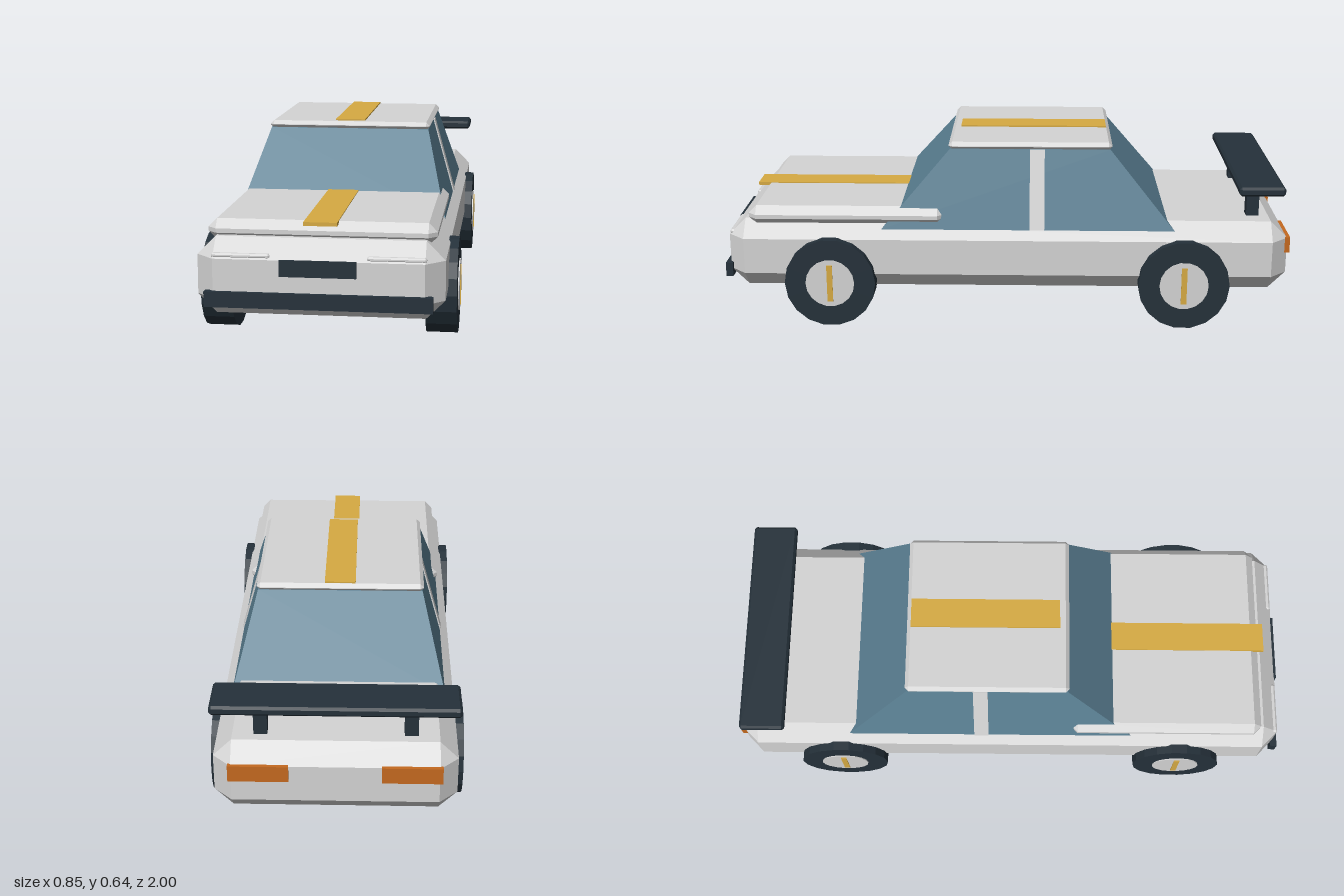
import * as THREE from 'three';
import { ConvexGeometry } from 'three/addons/geometries/ConvexGeometry.js';

function material(name, color) {
  const m = new THREE.MeshStandardMaterial({ color });
  m.name = name;
  return m;
}

// Box with single-step chamfers of size c on every edge
function chamferBox(w, h, d, c) {
  const points = [];
  const [x, y, z] = [w / 2, h / 2, d / 2];
  for (const sx of [-1, 1]) for (const sy of [-1, 1]) for (const sz of [-1, 1]) {
    points.push(
      new THREE.Vector3(sx * x, sy * (y - c), sz * (z - c)),
      new THREE.Vector3(sx * (x - c), sy * y, sz * (z - c)),
      new THREE.Vector3(sx * (x - c), sy * (y - c), sz * z));
  }
  return new ConvexGeometry(points);
}

export function createModel() {
  const car = new THREE.Group();
  car.name = 'car';

  const paint = material('bodyPaint', 0xd4d4d4);
  const glass = material('glass', 0x5a7f92);
  const dark = material('darkTrim', 0x25313a);
  const gold = material('goldStripe', 0xd6aa42);
  const orange = material('tailLightOrange', 0xc4691f);

  const add = (name, geometry, mat, parent = car) => {
    const mesh = new THREE.Mesh(geometry, mat);
    mesh.name = name;
    parent.add(mesh);
    return mesh;
  };
  // Places a box by its limits; c > 0 chamfers the edges
  const block = (name, mat, [x0, x1], [y0, y1], [z0, z1], c = 0, parent = car) => {
    const size = [x1 - x0, y1 - y0, z1 - z0];
    const geometry = c ? chamferBox(...size, c) : new THREE.BoxGeometry(...size);
    const mesh = add(name, geometry, mat, parent);
    mesh.position.set((x0 + x1) / 2, (y0 + y1) / 2, (z0 + z1) / 2);
    return mesh;
  };

  // Bodywork
  block('body', paint, [-0.39, 0.39], [0.125, 0.372], [-0.991, 0.985], 0.06);
  block('hood', paint, [-0.362, 0.362], [0.35, 0.42], [0.215, 0.912], 0.028);
  block('roof', paint, [-0.288, 0.288], [0.612, 0.64], [-0.372, 0.205], 0.013);

  // Tapered glass cabin
  const cabin = [];
  for (const s of [-1, 1]) {
    cabin.push(
      new THREE.Vector3(s * 0.36, 0.342, 0.44), new THREE.Vector3(s * 0.36, 0.342, -0.592),
      new THREE.Vector3(s * 0.283, 0.616, 0.2), new THREE.Vector3(s * 0.283, 0.616, -0.365));
  }
  add('cabinGlass', new ConvexGeometry(cabin), glass);

  // Door pillars lying along the sloped side windows
  for (const s of [-1, 1]) {
    const pillar = block('doorPillar', paint, [-0.004, 0.004], [-0.142, 0.142], [-0.026, 0.026]);
    pillar.position.set(s * 0.322, 0.479, -0.108);
    pillar.rotation.z = s * Math.atan2(0.077, 0.274);
  }

  // Stripes
  block('roofStripe', gold, [-0.053, 0.053], [0.636, 0.645], [-0.358, 0.172]);
  block('hoodStripe', gold, [-0.053, 0.053], [0.411, 0.423], [0.23, 0.93]);

  // Front and rear details
  block('frontBumper', dark, [-0.356, 0.356], [0.161, 0.21], [0.975, 1]);
  block('grille', dark, [-0.12, 0.12], [0.262, 0.314], [0.97, 0.992]);
  for (const s of [-1, 1]) {
    const light = block('headlight', paint, [-0.092, 0.092], [0.314, 0.329], [0.95, 0.982], 0.005);
    light.position.x = s * 0.243;
    const tail = block('tailLight', orange, [-0.096, 0.096], [0.26, 0.316], [-1, -0.982]);
    tail.position.x = s * 0.243;
  }

  // Rear spoiler
  const spoiler = new THREE.Group();
  spoiler.name = 'spoiler';
  car.add(spoiler);
  block('spoilerWing', dark, [-0.393, 0.393], [0.48, 0.512], [-0.967, -0.808], 0.008, spoiler);
  for (const s of [-1, 1]) {
    const post = block('spoilerPost', dark, [-0.022, 0.022], [0.36, 0.485], [-0.897, -0.853], 0, spoiler);
    post.position.x = s * 0.24;
  }

  // Wheels: faceted tyre, hub disc and one upright bar
  const tyreShape = new THREE.CylinderGeometry(0.16, 0.16, 0.102, 18).toNonIndexed();
  tyreShape.computeVertexNormals();
  const hubShape = new THREE.CylinderGeometry(0.086, 0.086, 0.01, 18).toNonIndexed();
  hubShape.computeVertexNormals();
  for (const s of [-1, 1]) for (const z of [0.62, -0.625]) {
    const wheel = new THREE.Group();
    wheel.name = 'wheel';
    wheel.position.set(s * 0.367, 0.16, z);
    car.add(wheel);
    add('tyre', tyreShape, dark, wheel).rotation.z = Math.PI / 2;
    const hub = add('hub', hubShape, paint, wheel);
    hub.rotation.z = Math.PI / 2;
    hub.position.x = s * 0.05;
    const bar = add('hubBar', new THREE.BoxGeometry(0.006, 0.134, 0.02), gold, wheel);
    bar.position.x = s * 0.055;
  }

  return car;
}
